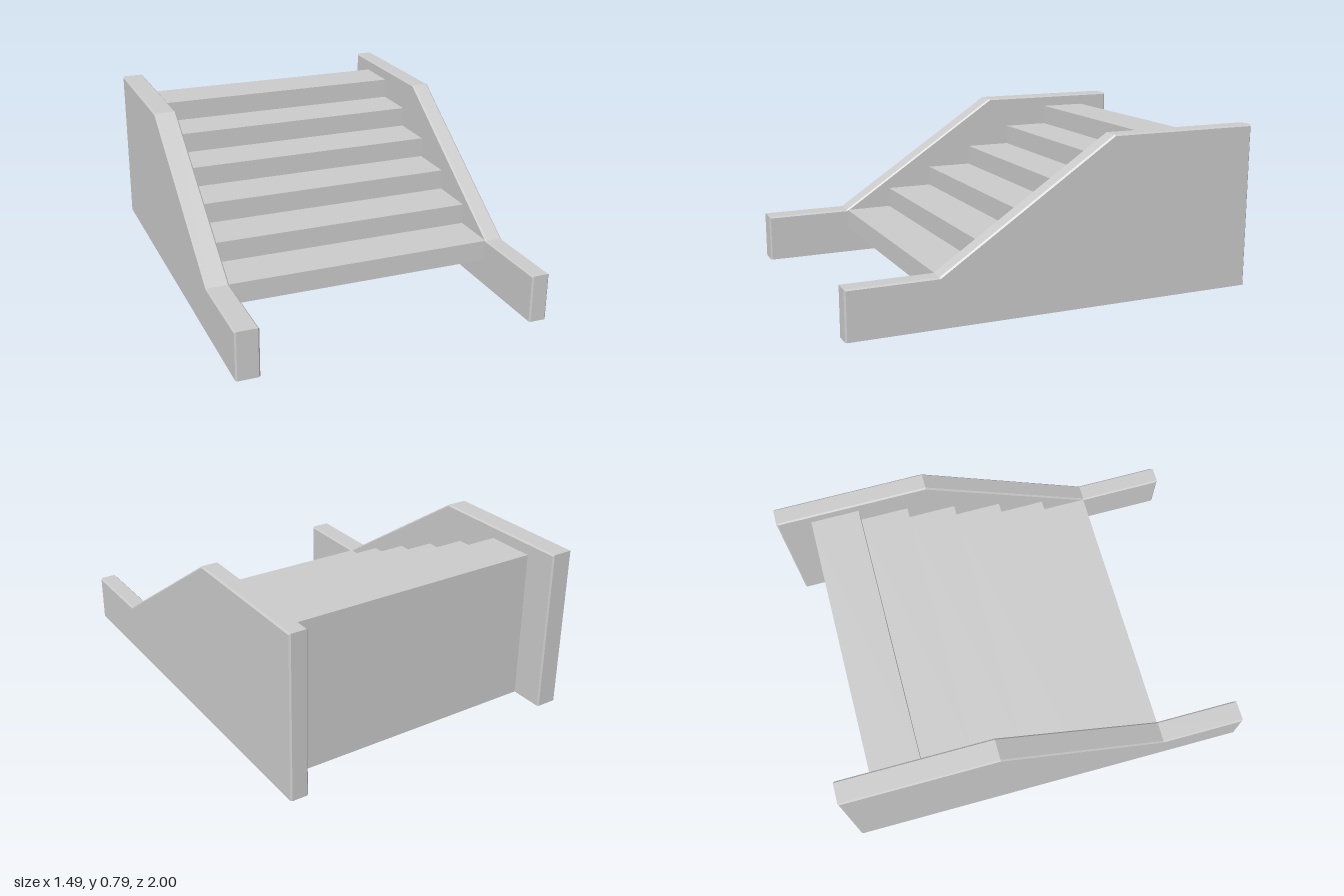
import * as THREE from 'three';

const material = new THREE.MeshStandardMaterial({ color: 0xcccccc, side: THREE.DoubleSide, flatShading: true });

// Joins successive cross-sections (arrays of Vector3) into an open sheet
function loft(sections) {
  const pos = [];
  for (let i = 0; i < sections.length - 1; i++) {
    const a = sections[i], b = sections[i + 1];
    for (let j = 0; j < a.length - 1; j++) {
      for (const p of [a[j], a[j + 1], b[j + 1], a[j], b[j + 1], b[j]]) pos.push(p.x, p.y, p.z);
    }
  }
  const geometry = new THREE.BufferGeometry();
  geometry.setAttribute('position', new THREE.Float32BufferAttribute(pos, 3));
  geometry.computeVertexNormals();
  return geometry;
}

// Side outline as [z, y], front foot to back foot, pulled in by b for the bevel
const outline = (b) => [
  [1 - b, 0], [1 - b, 0.23 - b], [0.58 - b * 0.3, 0.23 - b],
  [-0.26 - b * 0.3, 0.787 - b], [-1 + b, 0.787 - b], [-1 + b, 0],
];

// Hollow side wall with bevelled edges, open underneath
function sideWall(name, x0, x1) {
  const wall = new THREE.Group();
  wall.name = name;
  const b = 0.007;
  const ring = (x, inset) => outline(inset).map(([z, y]) => new THREE.Vector3(x, y, z));
  const rim = new THREE.Mesh(loft([ring(x0, b), ring(x0 + b, 0), ring(x1 - b, 0), ring(x1, b)]), material);
  rim.name = 'wallRim';
  wall.add(rim);

  // Flat cheeks: shape x runs along -z for the +x side and along +z for the -x side
  for (const [x, dir] of [[x0, -1], [x1, 1]]) {
    const shape = new THREE.Shape(outline(b).map(([z, y]) => new THREE.Vector2(-dir * z, y)));
    const cheek = new THREE.Mesh(new THREE.ShapeGeometry(shape), material);
    cheek.name = 'wallCheek';
    cheek.rotation.y = dir * Math.PI / 2;
    cheek.position.x = x;
    wall.add(cheek);
  }
  return wall;
}

export function createModel() {
  const group = new THREE.Group();
  const left = 0.656, right = -0.636;

  group.add(sideWall('leftWall', left, 0.742), sideWall('rightWall', -0.745, right));

  // Folded sheet of steps: first riser hangs clear of the ground
  const steps = 6, run = 0.236, rise = 0.1;
  const profile = [[0.577, 0.13]];
  for (let i = 0; i < steps; i++) {
    const y = 0.13 + rise * (i + 1);
    profile.push([0.577 - run * i, y], [0.577 - run * (i + 1), y]);
  }
  const section = (pts, x) => pts.map(([z, y]) => new THREE.Vector3(x, y, z));
  const stairs = new THREE.Mesh(loft([section(profile, right), section(profile, left)]), material);
  stairs.name = 'steps';
  group.add(stairs);

  // Back panel from the top landing down to the ground
  const [backZ, topY] = profile[profile.length - 1];
  const back = [[backZ, topY], [backZ, 0]];
  const panel = new THREE.Mesh(loft([section(back, right), section(back, left)]), material);
  panel.name = 'backPanel';
  group.add(panel);

  return group;
}
